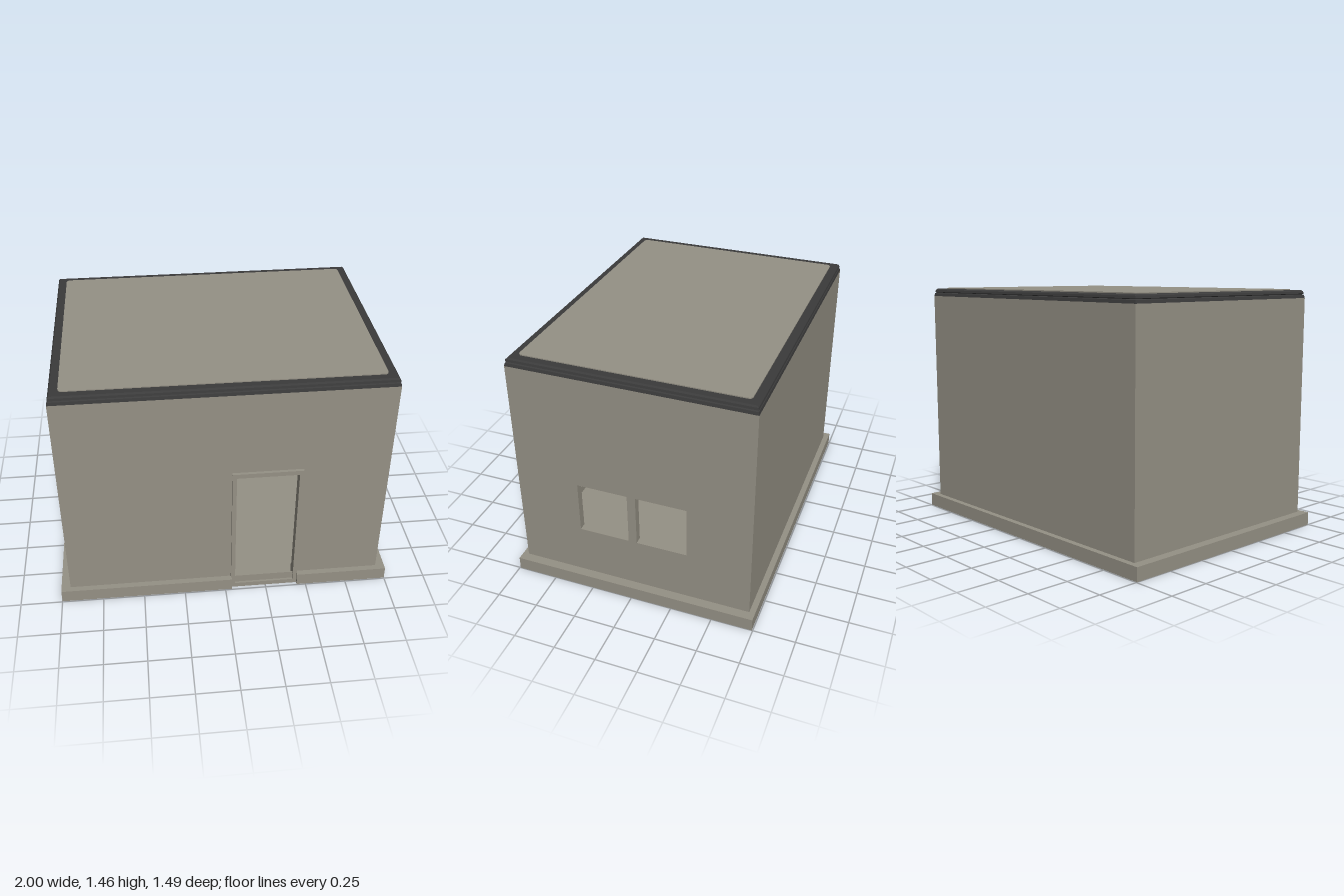
import * as THREE from 'three';

const W = 0.945, D = 0.71, T = 0.045, H = 1.41; // wall half width, half depth, thickness, height
const DOOR = { x0: 0.06, x1: 0.42, y0: 0.03, y1: 0.86 };

// Closed rectangular path from corner to corner
function rect(Type, x0, y0, x1, y1) {
  const p = new Type();
  p.moveTo(x0, y0).lineTo(x1, y0).lineTo(x1, y1).lineTo(x0, y1).closePath();
  return p;
}

function extrude(shape, depth) {
  return new THREE.ExtrudeGeometry(shape, { depth, bevelEnabled: false, curveSegments: 4 });
}

// Mitred rectangular moulding: profile is a list of [inset, y], listed upward on the outside
function moulding(profile) {
  const pos = [];
  const corner = ([inset, y], k) => {
    const x = W - inset, z = D - inset;
    return [[-x, y, z], [x, y, z], [x, y, -z], [-x, y, -z]][k % 4];
  };
  for (let i = 0; i < profile.length; i++) {
    const lo = profile[i], hi = profile[(i + 1) % profile.length];
    for (let k = 0; k < 4; k++) {
      const a = corner(lo, k), b = corner(lo, k + 1), c = corner(hi, k + 1), d = corner(hi, k);
      pos.push(...a, ...b, ...c, ...a, ...c, ...d);
    }
  }
  const g = new THREE.BufferGeometry();
  g.setAttribute('position', new THREE.Float32BufferAttribute(pos, 3));
  g.computeVertexNormals();
  return g;
}

export function createModel() {
  const house = new THREE.Group();
  house.name = 'house';
  const stone = new THREE.MeshStandardMaterial({ color: 0x959185 });
  stone.name = 'warm grey stone';
  const dark = new THREE.MeshStandardMaterial({ color: 0x3b3b3b });
  dark.name = 'charcoal trim';

  const add = (name, geometry, material = stone) => {
    const mesh = new THREE.Mesh(geometry, material);
    mesh.name = name;
    house.add(mesh);
    return mesh;
  };
  const box = (name, x0, x1, y0, y1, z0, z1) =>
    add(name, new THREE.BoxGeometry(x1 - x0, y1 - y0, z1 - z0)
      .translate((x0 + x1) / 2, (y0 + y1) / 2, (z0 + z1) / 2));

  // Plinth around the walls, notched at the doorway
  const plinth = new THREE.Shape();
  [[-1, -0.745], [0.04, -0.745], [0.04, -0.715], [0.445, -0.715], [0.445, -0.745],
    [1, -0.745], [1, 0.745], [-1, 0.745]].forEach(([x, y], i) =>
    i ? plinth.lineTo(x, y) : plinth.moveTo(x, y));
  plinth.closePath();
  plinth.holes.push(rect(THREE.Path, -W + 0.01, -D + 0.002, W - 0.01, D - 0.01));
  add('plinth', extrude(plinth, 0.08).rotateX(-Math.PI / 2));
  box('floor', -W + 0.01, W - 0.01, 0, 0.03, -D + 0.01, D - 0.002);

  // Front wall with doorway, plain back wall
  const front = rect(THREE.Shape, -W, 0.001, W, H);
  front.holes.push(rect(THREE.Path, DOOR.x0, DOOR.y0, DOOR.x1, DOOR.y1));
  add('frontWall', extrude(front, T).translate(0, 0, D - T));
  box('backWall', -W, W, 0.001, H, -D, -D + T);

  // Side walls, the left one with two windows
  const side = rect(THREE.Shape, -D + T, 0.001, D - T, H);
  for (const [z0, z1] of [[-0.33, -0.025], [0.025, 0.33]])
    side.holes.push(rect(THREE.Path, z0, 0.39, z1, 0.71));
  add('windowWall', extrude(side, T).rotateY(Math.PI / 2).translate(W - T, 0, 0));
  box('plainSideWall', -W, -W + T, 0.001, H, -D + T, D - T);

  // Door surround and threshold
  const frame = rect(THREE.Shape, 0.035, 0, 0.445, 0.888);
  frame.holes.push(rect(THREE.Path, DOOR.x0, DOOR.y0, DOOR.x1, DOOR.y1));
  add('doorFrame', extrude(frame, 0.018).translate(0, 0, D));

  // Skirting boards inside the room
  const ix = W - T, iz = D - T, s = 0.012;
  box('backSkirting', -ix, ix, 0.03, 0.09, -iz, -iz + s);
  box('frontSkirtingLong', -ix, DOOR.x0, 0.03, 0.09, iz - s, iz);
  box('frontSkirtingShort', DOOR.x1, ix, 0.03, 0.09, iz - s, iz);
  for (const m of [-1, 1])
    box('sideSkirting', m * (ix - s / 2) - s / 2, m * (ix - s / 2) + s / 2, 0.03, 0.09, -iz + s, iz - s);

  // Stepped dark cornice
  add('cornice', moulding([[0, H], [0.004, 1.428], [0.012, 1.432], [0.005, 1.436],
    [0.008, 1.449], [0.016, 1.457], [0.07, 1.457], [0.07, H]]), dark);

  // Roof panel with rounded corners, and its slab
  const rx = 0.885, rz = 0.655, r = 0.025;
  const roof = new THREE.Shape();
  roof.moveTo(-rx + r, -rz);
  roof.lineTo(rx - r, -rz).quadraticCurveTo(rx, -rz, rx, -rz + r);
  roof.lineTo(rx, rz - r).quadraticCurveTo(rx, rz, rx - r, rz);
  roof.lineTo(-rx + r, rz).quadraticCurveTo(-rx, rz, -rx, rz - r);
  roof.lineTo(-rx, -rz + r).quadraticCurveTo(-rx, -rz, -rx + r, -rz);
  add('roofPanel', extrude(roof, 0.055).rotateX(-Math.PI / 2).translate(0, 1.408, 0));
  box('ceiling', -ix, ix, 1.385, 1.409, -iz, iz);

  return house;
}
